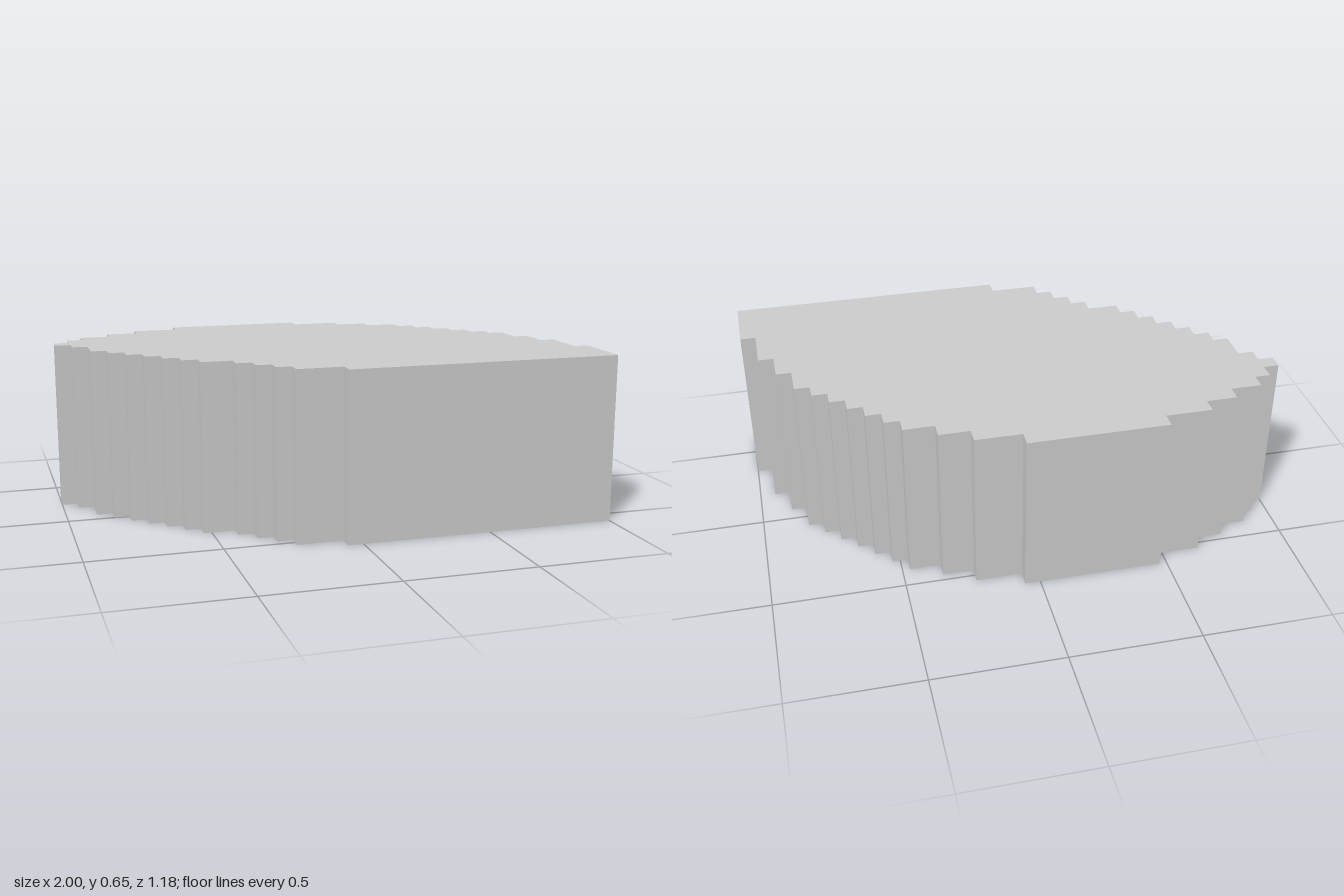
import * as THREE from 'three';

// The outline is stepped on a square grid: 34 cells wide, 20 deep, 11 high.
const CELL = 2 / 34;
const WIDTH = 34, DEPTH = 20, HEIGHT = 11;

// First and last grid column of each row, from back to front.
const leftEdge = [9, 6, 4, 2, 1, 0, 1, 2, 2, 3, 4, 5, 6, 7, 8, 10, 11, 12, 13, 16];
const rightEdge = [18, 21, 23, 25, 26, 27, 28, 29, 30, 31, 31, 32, 32, 33, 33, 33, 34, 34, 34, 34];

// Staircase corners along one edge, one pair of points wherever the column changes.
function staircase(edge) {
  const points = [];
  const add = (column, row) =>
    points.push(new THREE.Vector2((column - WIDTH / 2) * CELL, (DEPTH / 2 - row) * CELL));
  edge.forEach((column, row) => {
    if (column !== edge[row - 1]) add(column, row);
    if (column !== edge[row + 1]) add(column, row + 1);
  });
  return points;
}

export function createModel() {
  const group = new THREE.Group();
  group.name = 'steppedBlock';

  // Down the left edge, then back up the right one
  const outline = new THREE.Shape([...staircase(leftEdge), ...staircase(rightEdge).reverse()]);

  // Upright prism with vertical stepped walls
  const geometry = new THREE.ExtrudeGeometry(outline, { depth: HEIGHT * CELL, bevelEnabled: false });
  geometry.rotateX(-Math.PI / 2);

  const material = new THREE.MeshStandardMaterial({ color: 0xcccccc, flatShading: true });
  const body = new THREE.Mesh(geometry, material);
  body.name = 'steppedBody';
  group.add(body);
  return group;
}
